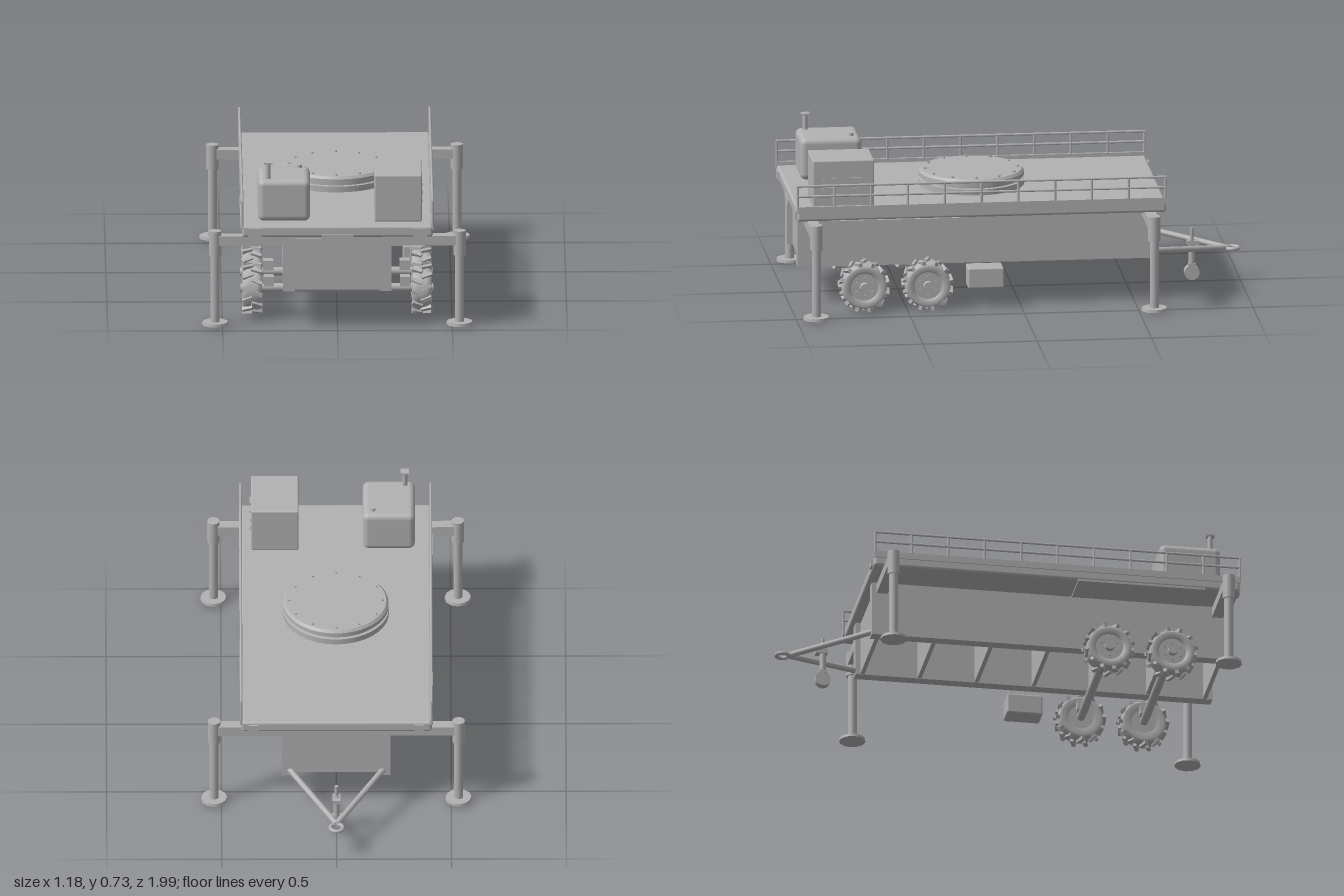
import * as THREE from 'three';
import { RoundedBoxGeometry } from 'three/addons/geometries/RoundedBoxGeometry.js';

const grey = new THREE.MeshStandardMaterial({ color: 0xb2b2b2 });
grey.name = 'plain grey';

function add(parent, name, geometry, x = 0, y = 0, z = 0) {
  const mesh = new THREE.Mesh(geometry, grey);
  mesh.name = name;
  mesh.position.set(x, y, z);
  parent.add(mesh);
  return mesh;
}
// Box given by its limits on each axis
function box(parent, name, x0, x1, y0, y1, z0, z1, radius = 0) {
  const size = [x1 - x0, y1 - y0, z1 - z0];
  const geo = radius ? new RoundedBoxGeometry(...size, 3, radius) : new THREE.BoxGeometry(...size);
  return add(parent, name, geo, (x0 + x1) / 2, (y0 + y1) / 2, (z0 + z1) / 2);
}
// Upright cylinder from y0 to y1
function post(parent, name, r, y0, y1, x, z, sides = 20, rTop = r) {
  return add(parent, name, new THREE.CylinderGeometry(rTop, r, y1 - y0, sides), x, (y0 + y1) / 2, z);
}
// Cylinder between two points
function rod(parent, name, a, b, r, sides = 12) {
  const from = new THREE.Vector3(...a), to = new THREE.Vector3(...b);
  const dir = to.clone().sub(from);
  const mesh = add(parent, name, new THREE.CylinderGeometry(r, r, dir.length(), sides));
  mesh.position.copy(from).add(to).multiplyScalar(0.5);
  mesh.quaternion.setFromUnitVectors(new THREE.Vector3(0, 1, 0), dir.normalize());
  return mesh;
}
function lathe(points, sides) {
  return new THREE.LatheGeometry(points.map(p => new THREE.Vector2(...p)), sides);
}
// Repeated corner points keep the lathe edges sharp
function sharpLathe(points, sides) {
  return lathe(points.flatMap((p, i) => (i && i < points.length - 1 ? [p, p] : [p])), sides);
}

// Wheel built with its axis on y, then turned so that +y points outward
function makeWheel(side, z) {
  const wheel = new THREE.Group();
  wheel.name = 'wheel';
  add(wheel, 'tyre', lathe([[0.055, -0.036], [0.085, -0.043], [0.096, -0.036], [0.1, -0.02],
    [0.1, 0.02], [0.096, 0.036], [0.085, 0.043], [0.062, 0.038], [0.058, 0.025]], 40));
  add(wheel, 'rim', new THREE.CylinderGeometry(0.062, 0.058, 0.062, 32));
  add(wheel, 'hub', new THREE.CylinderGeometry(0.019, 0.022, 0.022, 20), 0, 0.039, 0);
  for (let i = 0; i < 6; i++) {
    const a = i / 6 * Math.PI * 2;
    add(wheel, 'wheelBolt', new THREE.CylinderGeometry(0.005, 0.005, 0.012, 6),
      Math.cos(a) * 0.04, 0.034, Math.sin(a) * 0.04);
  }
  // Two staggered rows of slanted tread bars
  for (let i = 0; i < 24; i++) {
    const row = i % 2 ? 1 : -1;
    const pivot = new THREE.Group();
    pivot.name = 'treadBar';
    pivot.rotation.y = i / 24 * Math.PI * 2;
    const lug = add(pivot, 'lug', new THREE.BoxGeometry(0.017, 0.048, 0.016), 0.1025, row * 0.02, 0);
    lug.rotation.x = row * 0.4;
    wheel.add(pivot);
  }
  wheel.position.set(side * 0.369, 0.113, z);
  wheel.rotation.z = -side * Math.PI / 2;
  return wheel;
}

export function createModel() {
  const model = new THREE.Group();
  model.name = 'platformTrailer';

  // Deck and chassis
  box(model, 'deck', -0.415, 0.415, 0.417, 0.468, -0.63, 0.985, 0.012);
  box(model, 'platePanel', -0.07, 0.07, 0.411, 0.43, 0.981, 0.989);
  for (const s of [-1, 1]) {
    box(model, 'chassisBeam', s * 0.21 - 0.026, s * 0.21 + 0.026, 0.17, 0.418, -0.61, 0.965);
    box(model, 'mudguard', s * 0.335 - 0.086, s * 0.335 + 0.086, 0.409, 0.419, 0.27, 0.83);
    box(model, 'frontLight', s * 0.36 - 0.03, s * 0.36 + 0.03, 0.421, 0.458, 0.982, 0.99);
    box(model, 'rearLight', s * 0.36 - 0.02, s * 0.36 + 0.02, 0.428, 0.456, -0.638, -0.626);
  }
  for (let i = 0; i < 7; i++) {
    const z = -0.58 + i * 0.252;
    box(model, 'crossPlate', -0.186, 0.186, 0.172, 0.402, z - 0.009, z + 0.009);
  }

  // Outriggers at the four corners
  for (const z of [-0.565, 0.915]) {
    box(model, 'outriggerBeam', -0.515, 0.515, 0.367, 0.411, z - 0.024, z + 0.024);
    for (const s of [-1, 1]) {
      const leg = new THREE.Group();
      leg.name = 'outriggerLeg';
      post(leg, 'sleeve', 0.027, 0.32, 0.43, 0, 0);
      post(leg, 'ram', 0.02, 0.02, 0.33, 0, 0);
      post(leg, 'footPad', 0.058, 0.009, 0.022, 0, 0, 12, 0.056);
      leg.position.set(s * 0.532, 0, z);
      model.add(leg);
    }
  }

  // Axles and wheels
  for (const z of [0.411, 0.689]) {
    rod(model, 'axle', [-0.345, 0.115, z], [0.345, 0.115, z], 0.019, 16);
    for (const s of [-1, 1]) {
      box(model, 'axleBlock', s * 0.297 - 0.022, s * 0.297 + 0.022, 0.125, 0.168, z - 0.025, z + 0.025);
      model.add(makeWheel(s, z));
    }
  }
  box(model, 'toolBox', 0.29, 0.39, 0.09, 0.182, 0.077, 0.235, 0.008);

  // Tow frame, ring and jockey wheel
  for (const s of [-1, 1]) rod(model, 'towBar', [s * 0.205, 0.195, -0.6], [0, 0.148, -0.94], 0.013);
  add(model, 'towRing', new THREE.TorusGeometry(0.027, 0.009, 10, 28), 0, 0.146, -0.965).rotation.x = Math.PI / 2;
  post(model, 'jockeyPost', 0.008, 0.18, 0.24, 0, -0.787, 12);
  post(model, 'jockeySleeve', 0.014, 0.08, 0.19, 0, -0.787, 14);
  box(model, 'jockeyClamp', -0.018, 0.018, 0.165, 0.185, -0.82, -0.767);
  box(model, 'jockeyFork', -0.019, 0.019, 0.07, 0.084, -0.802, -0.772);
  rod(model, 'jockeyWheel', [-0.017, 0.043, -0.787], [0.017, 0.043, -0.787], 0.033, 24);

  // Turntable with a ring of bolts
  const turntable = new THREE.Group();
  turntable.name = 'turntable';
  turntable.position.z = 0.178;
  add(turntable, 'bearing', sharpLathe([[0.23, 0.465], [0.23, 0.494], [0.217, 0.496], [0.217, 0.506],
    [0.229, 0.508], [0.229, 0.526], [0.219, 0.537], [0, 0.537]], 64));
  for (let i = 0; i < 12; i++) {
    const a = i / 12 * Math.PI * 2;
    post(turntable, 'turntableBolt', 0.006, 0.535, 0.544, Math.cos(a) * 0.203, Math.sin(a) * 0.203, 6);
  }
  model.add(turntable);

  // Rounded power unit with exhaust and filler cap
  box(model, 'powerUnit', -0.345, -0.118, 0.468, 0.654, 0.643, 0.912, 0.026);
  post(model, 'exhaustPipe', 0.011, 0.645, 0.722, -0.301, 0.872, 16);
  box(model, 'exhaustCap', -0.319, -0.283, 0.72, 0.727, 0.854, 0.89);
  post(model, 'fillerCap', 0.011, 0.65, 0.667, -0.163, 0.686, 16);

  // Control cabinet with door fittings on its outer side
  box(model, 'cabinet', 0.162, 0.368, 0.468, 0.676, 0.643, 0.912, 0.006);
  for (const y of [0.55, 0.592]) {
    for (const z of [0.72, 0.84]) box(model, 'doorLatch', 0.366, 0.374, y - 0.006, y + 0.006, z - 0.025, z + 0.025);
  }

  // Side railings
  for (const s of [-1, 1]) {
    const x = s * 0.414;
    for (const y of [0.53, 0.576]) rod(model, 'handRail', [x, y, -0.63], [x, y, 0.988], 0.0055, 8);
    box(model, 'toeBoard', x - 0.006, x + 0.006, 0.455, 0.484, -0.63, 0.985);
    for (let i = 0; i < 11; i++) post(model, 'railPost', 0.0055, 0.46, 0.576, x, -0.626 + i * 0.161, 8);
  }
  return model;
}
